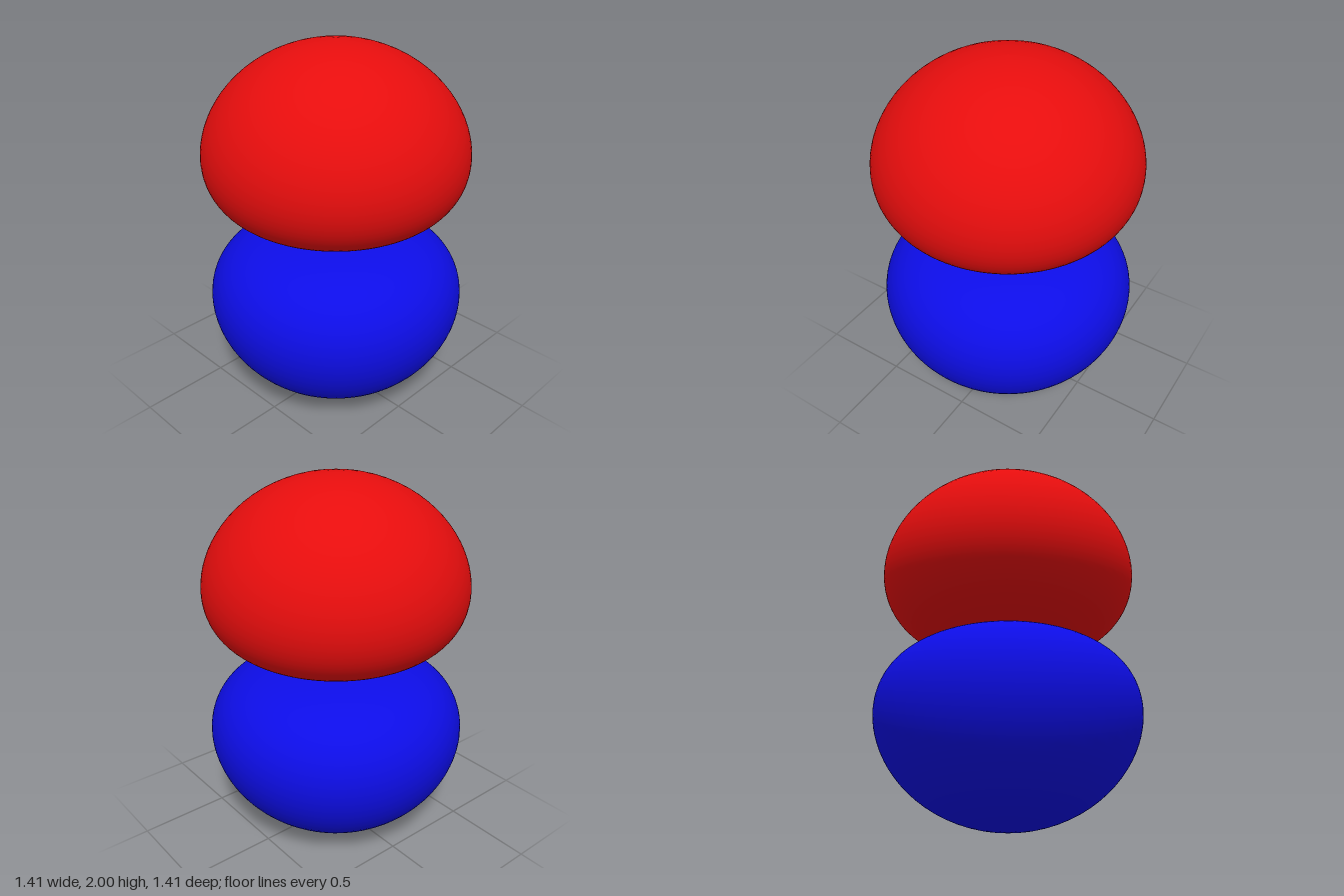
import * as THREE from 'three';

// Lobe surface in polar form: height = exp(decay * (r - 1)), revolved about y
const DECAY = 4.8;
const heightAt = (r) => Math.exp(DECAY * (r - 1));

function lobeProfile(steps) {
  // nearest distance of the lobe to the centre, by fixed-point iteration
  let near = 0;
  for (let i = 0; i < 30; i++) near = heightAt(near);

  const points = [];
  for (let i = 0; i <= steps; i++) {
    // cosine spacing gathers points near both poles
    const t = (1 - Math.cos((Math.PI * i) / steps)) / 2;
    const r = near + (1 - near) * t;
    const y = heightAt(r);
    const end = i === 0 || i === steps;
    points.push(new THREE.Vector2(end ? 0 : Math.sqrt(Math.max(0, r * r - y * y)), y));
  }
  return points;
}

export function createModel() {
  const group = new THREE.Group();
  group.name = 'twoLobes';

  const red = new THREE.MeshStandardMaterial({ color: 0xe60d0d });
  red.name = 'red';
  const blue = new THREE.MeshStandardMaterial({ color: 0x0d0de6 });
  blue.name = 'blue';

  const geometry = new THREE.LatheGeometry(lobeProfile(72), 96);

  // upper lobe
  const upper = new THREE.Mesh(geometry, red);
  upper.name = 'upperLobe';
  upper.position.y = 1;

  // lower lobe, the same shape turned upside down
  const lower = new THREE.Mesh(geometry, blue);
  lower.name = 'lowerLobe';
  lower.position.y = 1;
  lower.rotation.x = Math.PI;

  group.add(upper, lower);
  return group;
}
